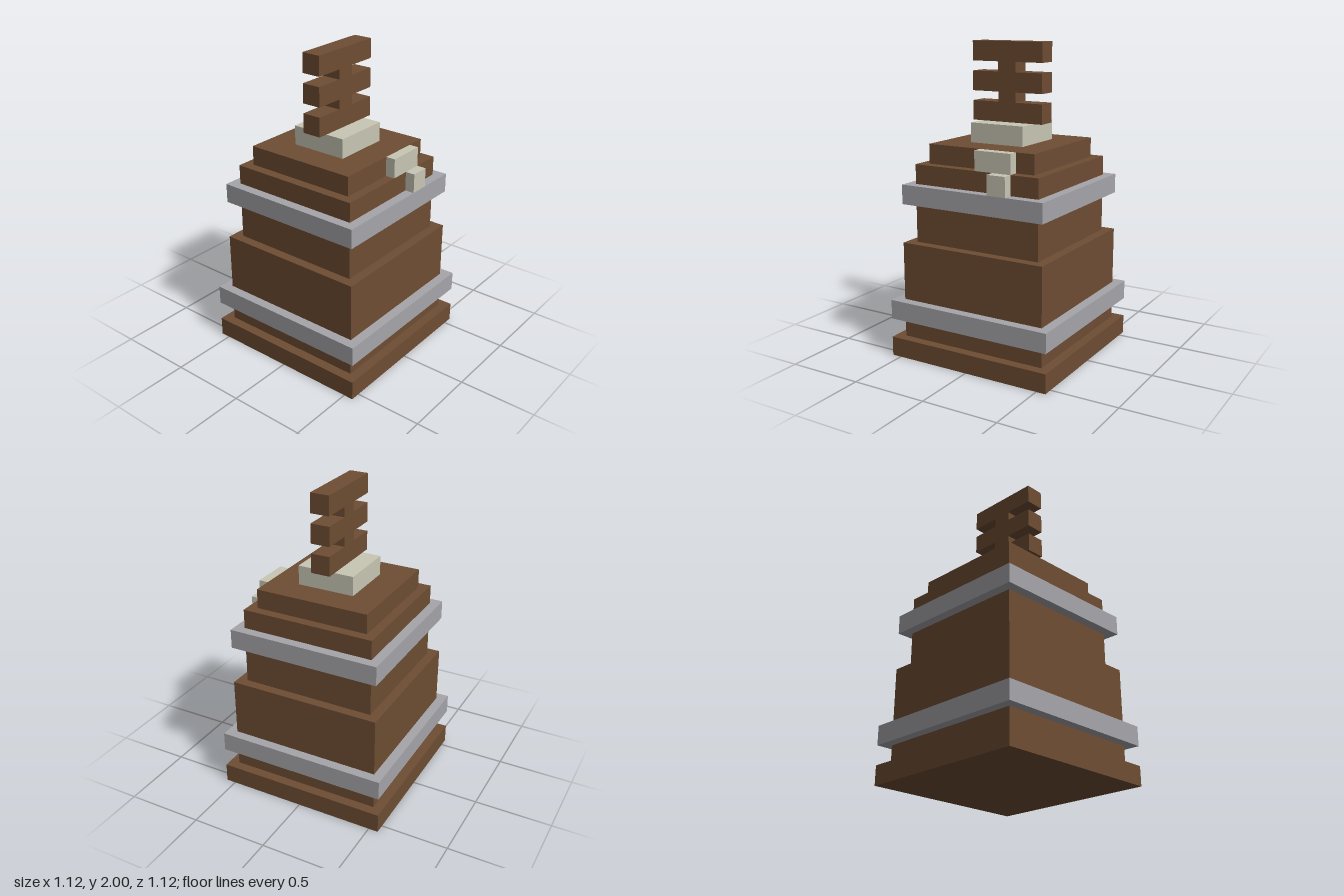
import * as THREE from 'three';

export function createModel() {
  const model = new THREE.Group();
  const material = (name, color) => {
    const m = new THREE.MeshStandardMaterial({ color });
    m.name = name;
    return m;
  };
  const wood = material('brown wood', 0x6e4d33);
  const metal = material('grey metal', 0xa6a5aa);
  const wax = material('pale wax', 0xc9c7b5);

  // Block given by its minimum and maximum corners
  const block = (name, mat, [x0, y0, z0], [x1, y1, z1], parent = model) => {
    const geometry = new THREE.BoxGeometry(x1 - x0, y1 - y0, z1 - z0);
    const mesh = new THREE.Mesh(geometry, mat);
    mesh.position.set((x0 + x1) / 2, (y0 + y1) / 2, (z0 + z1) / 2);
    mesh.name = name;
    parent.add(mesh);
  };
  // Square block centred on the vertical axis
  const tier = (name, mat, half, y0, y1) =>
    block(name, mat, [-half, y0, -half], [half, y1, half]);

  // Stepped wooden body
  tier('foot', wood, 0.5625, 0, 0.125);
  tier('lowerBody', wood, 0.5, 0.125, 0.75);
  tier('upperBody', wood, 0.4375, 0.75, 1.25);
  tier('shoulder', wood, 0.375, 1.25, 1.375);

  // Metal bands
  tier('lowerBand', metal, 0.5625, 0.25, 0.375);
  tier('upperBand', metal, 0.5, 1, 1.125);

  // Neck and drips down the front
  tier('neck', wax, 0.1875, 1.375, 1.5);
  block('upperDrip', wax, [0, 1.25, 0.375], [0.25, 1.375, 0.4375]);
  block('lowerDrip', wax, [0.125, 1.125, 0.4375], [0.25, 1.25, 0.5]);

  // Handle: three slats joined by short stems
  const handle = new THREE.Group();
  handle.name = 'handle';
  model.add(handle);
  for (let i = 0; i < 3; i++) {
    const y = 1.5 + i * 0.1875;
    block('slat', wood, [-0.25, y, -0.0625], [0.25, y + 0.125, 0.0625], handle);
    if (i < 2) block('stem', wood, [-0.0625, y + 0.125, -0.0625], [0.0625, y + 0.1875, 0.0625], handle);
  }

  return model;
}
